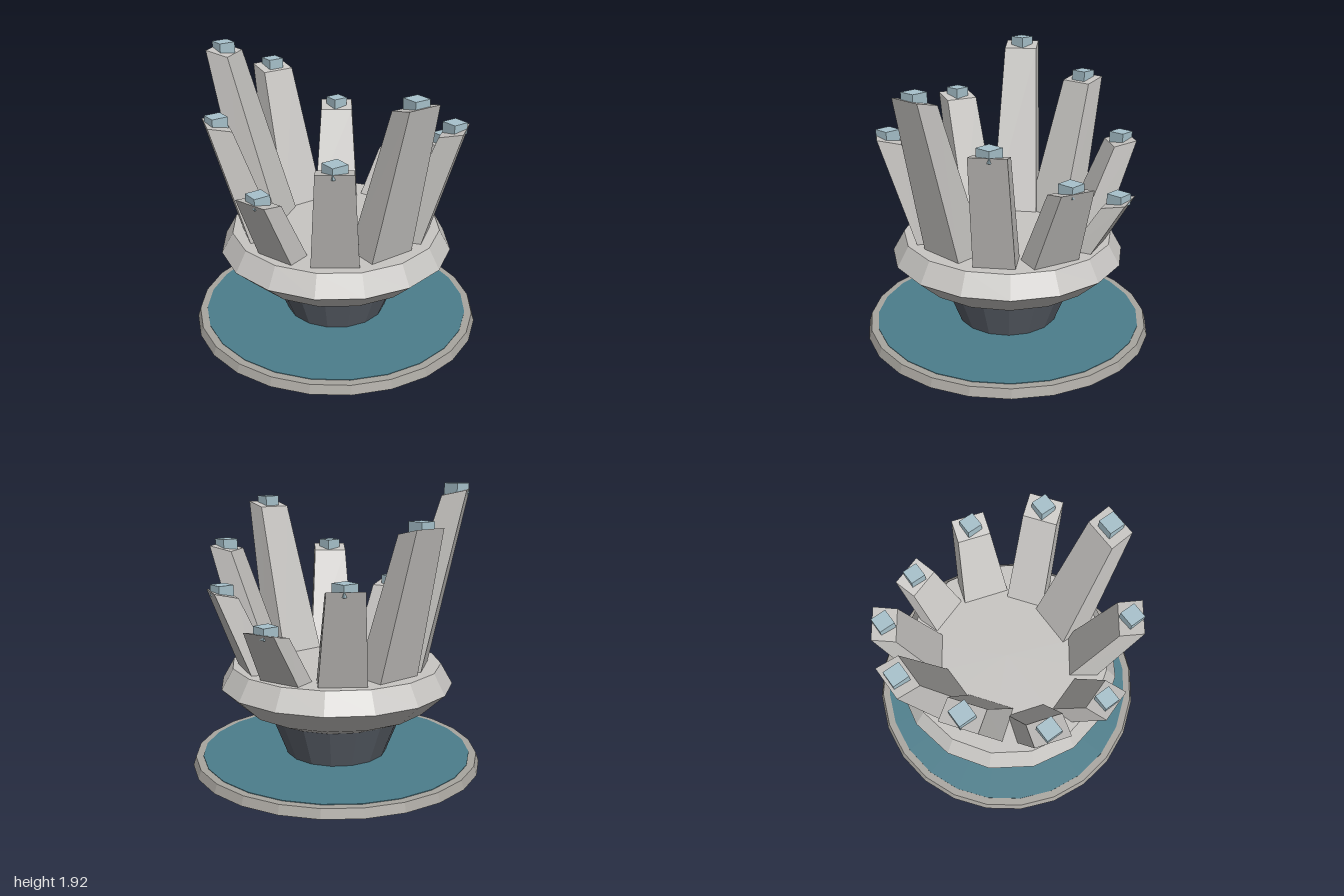
import * as THREE from 'three';

const mat = (name, color) => Object.assign(new THREE.MeshStandardMaterial({ color }), { name });

// faceted copy of a geometry
function facet(geo) {
  const g = geo.index ? geo.toNonIndexed() : geo;
  g.computeVertexNormals();
  return g;
}

// leaning, tapered four-sided pillar; local x points outward
function pillarGeometry(height, halfWidth) {
  const geo = new THREE.BoxGeometry(1, 1, 1);
  const p = geo.attributes.position;
  const inner = 0.51 - 0.18 * (height - 1.09);
  const outer = 0.66 - 0.06 * (height - 1.09);
  for (let i = 0; i < p.count; i++) {
    const out = p.getX(i) > 0, top = p.getY(i) > 0, side = Math.sign(p.getZ(i));
    if (top) p.setXYZ(i, out ? 0.865 : 0.71, height - (out ? 0.04 : 0.075), side * 0.115);
    else p.setXYZ(i, out ? outer : inner, 0.69, side * halfWidth);
  }
  return facet(geo);
}

export function createModel() {
  const model = new THREE.Group();
  model.name = 'pillarCrown';

  const stone = mat('paleStone', 0xc8c6c3);
  const rimStone = mat('rimStone', 0xa8a59f);
  const slate = mat('slate', 0x5c626b);
  const teal = mat('teal', 0x4c7e8c);
  const ice = mat('paleBlue', 0xa8c2cc);

  const add = (name, geo, material, parent = model) => {
    const mesh = new THREE.Mesh(geo, material);
    mesh.name = name;
    parent.add(mesh);
    return mesh;
  };

  // base disc with a thin coloured inlay
  add('baseDisc', facet(new THREE.CylinderGeometry(0.98, 1, 0.06, 24)), rimStone).position.y = 0.03;
  add('baseInlay', facet(new THREE.CylinderGeometry(0.93, 0.93, 0.006, 24)), teal).position.y = 0.061;

  // flared pedestal
  add('pedestal', facet(new THREE.CylinderGeometry(0.46, 0.35, 0.28, 16)), slate).position.y = 0.2;

  // faceted bowl with a flat top
  const profile = [[0, 0.335], [0.47, 0.335], [0.64, 0.41], [0.8, 0.56], [0.72, 0.7], [0, 0.7]]
    .map(([r, y]) => new THREE.Vector2(r, y));
  add('bowl', facet(new THREE.LatheGeometry(profile, 16)), stone);

  // ring of ten pillars: [height, base half width], starting at +x and turning towards +z
  const ring = [
    [1.8, 0.163], [1.46, 0.155], [1.2, 0.137], [1.56, 0.13], [1.92, 0.163],
    [1.71, 0.163], [1.37, 0.155], [1.09, 0.147], [1.28, 0.165], [1.525, 0.135],
  ];
  ring.forEach(([height, halfWidth], i) => {
    const angle = (i * Math.PI) / 5;
    const group = new THREE.Group();
    group.name = `pillar${i + 1}`;
    add('shaft', pillarGeometry(height, halfWidth), stone, group).rotation.y = -angle;
    add('tipBlock', new THREE.BoxGeometry(0.11, 0.075, 0.11), ice, group)
      .position.set(0.79 * Math.cos(angle), height - 0.0375, 0.79 * Math.sin(angle));
    model.add(group);
  });

  return model;
}
